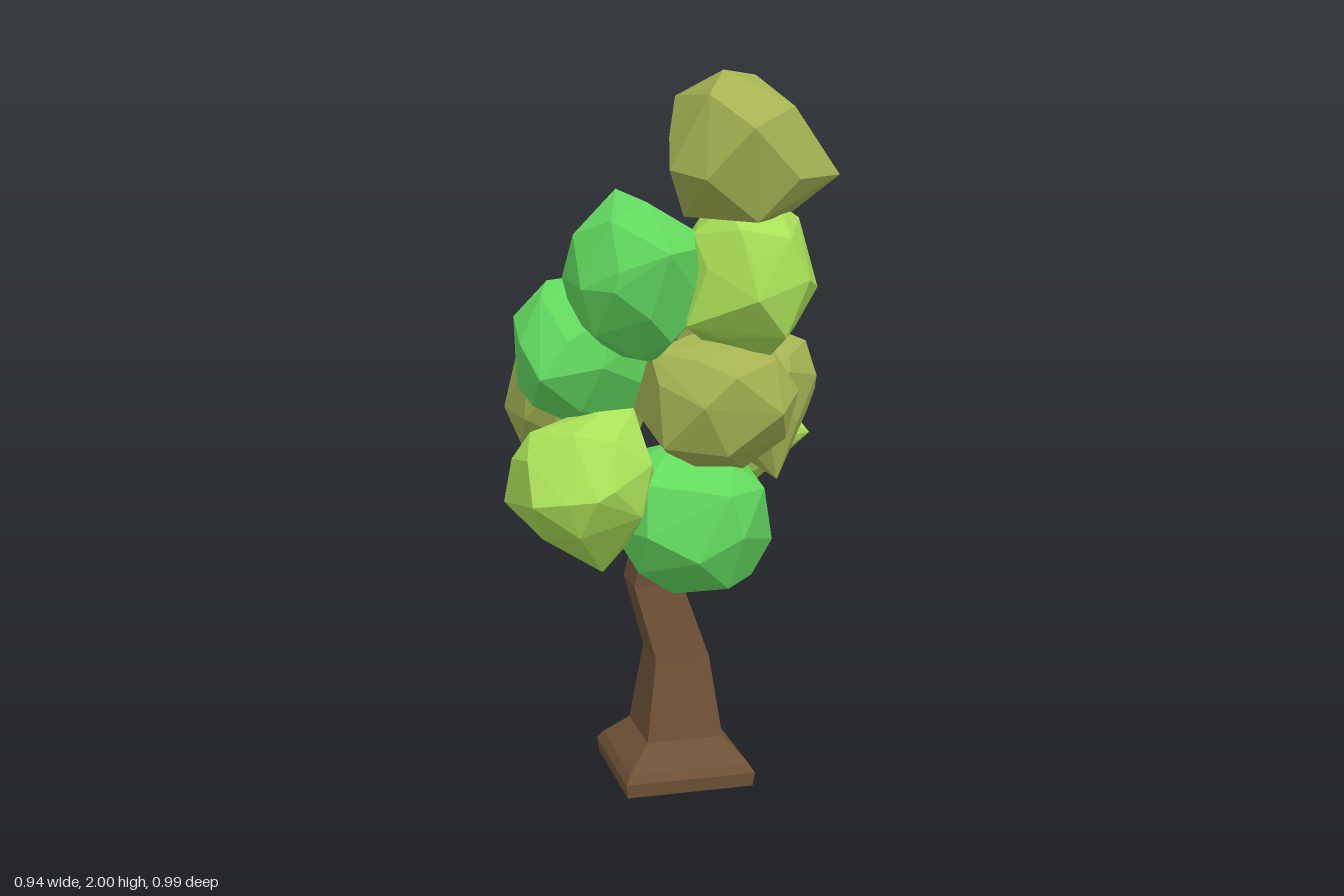
import * as THREE from 'three';
import { ConvexGeometry } from 'three/addons/geometries/ConvexGeometry.js';

const paint = (color) => new THREE.MeshStandardMaterial({ color, flatShading: true });
const toVectors = (list) => list.map((p) => new THREE.Vector3(...p));

// Small seeded random generator
function seeded(seed) {
  let s = seed * 7919 + 17;
  return () => {
    s = (s * 16807) % 2147483647;
    return s / 2147483647;
  };
}

// Faceted leaf clump: uneven points on an ellipsoid filling lo..hi, plus jutting corners
function clumpGeometry(lo, hi, corners, seed) {
  const rand = seeded(seed);
  for (let i = 0; i < 5; i++) rand();
  const turn = new THREE.Euler(rand() * 6, rand() * 6, rand() * 6);
  const count = 28;
  const points = [];
  for (let i = 0; i < count; i++) {
    const y = 1 - (2 * (i + 0.5)) / count;
    const r = Math.sqrt(1 - y * y);
    const a = i * 2.39996 + (rand() - 0.5) * 0.5;
    const p = new THREE.Vector3(r * Math.cos(a), y + (rand() - 0.5) * 0.15, r * Math.sin(a));
    points.push(p.normalize().multiplyScalar(0.97 + rand() * 0.08).applyEuler(turn));
  }
  const box = new THREE.Box3().setFromPoints(points);
  const low = new THREE.Vector3(...lo);
  const scale = new THREE.Vector3(...hi).sub(low).divide(box.getSize(new THREE.Vector3()));
  points.forEach((p) => p.sub(box.min).multiply(scale).add(low));
  return new ConvexGeometry([...points, ...toVectors(corners)]);
}

// Four-sided trunk lofted through rings of [y, xMin, xMax, zMin, zMax]
function trunkGeometry(rings) {
  const points = [];
  const index = [];
  for (const [y, x0, x1, z0, z1] of rings) {
    points.push(x0, y, z1, x1, y, z1, x1, y, z0, x0, y, z0);
  }
  for (let r = 0; r < rings.length - 1; r++) {
    for (let i = 0; i < 4; i++) {
      const a = r * 4 + i;
      const b = r * 4 + ((i + 1) % 4);
      index.push(a, b, b + 4, a, b + 4, a + 4);
    }
  }
  const t = (rings.length - 1) * 4;
  index.push(0, 2, 1, 0, 3, 2, t, t + 1, t + 2, t, t + 2, t + 3);
  const geo = new THREE.BufferGeometry();
  geo.setAttribute('position', new THREE.Float32BufferAttribute(points, 3));
  geo.setIndex(index);
  geo.computeVertexNormals();
  return geo;
}

export function createModel() {
  const tree = new THREE.Group();
  tree.name = 'tree';
  const add = (name, geometry, material) => {
    const mesh = new THREE.Mesh(geometry, material);
    mesh.name = name;
    tree.add(mesh);
    return mesh;
  };

  // Trunk with a flared square foot and a slight bend
  add('trunk', trunkGeometry([
    [0, -0.155, 0.21, -0.155, 0.21],
    [0.04, -0.16, 0.215, -0.16, 0.215],
    [0.065, -0.145, 0.2, -0.145, 0.2],
    [0.13, -0.08, 0.14, -0.08, 0.14],
    [0.36, -0.045, 0.11, -0.05, 0.1],
    [0.57, -0.1, 0.04, -0.06, 0.07],
    [0.75, -0.06, 0.06, -0.04, 0.08],
  ]), paint(0x6f5236));

  const green = paint(0x63db60);
  const lime = paint(0xa8df57);
  const olive = paint(0xa5b252);

  // Crown clump with one jutting corner, repeated lower down at the back
  const crown = new ConvexGeometry(toVectors([
    [0.08, 2.0, 0.31], [0.2, 1.985, 0.2], [0.29, 1.92, 0.12], [0.3, 1.8, 0.2],
    [0.37, 1.735, 0.39], [0.11, 1.86, 0.49], [-0.07, 1.75, 0.34], [-0.05, 1.83, 0.26],
    [0.0, 1.93, 0.13], [0.19, 1.79, 0.03], [0.29, 1.62, 0.22], [0.0, 1.62, 0.22],
    [0.14, 1.62, 0.43], [0.24, 1.73, 0.46], [0.0, 1.73, 0.44], [0.12, 1.63, 0.1],
    [0.01, 1.74, 0.09], [0.26, 1.7, 0.09], [0.24, 1.91, 0.41], [0.02, 1.94, 0.39],
  ]));
  add('crownClump', crown, olive);
  add('upperBackClump', crown, olive).position.set(0, -0.44, -0.37);

  // Other clumps: colour, lowest and highest extent, jutting corners
  const clumps = [
    ['upperFrontClump', lime, [0.0, 1.23, -0.03], [0.37, 1.66, 0.45],
      [[-0.03, 1.35, 0.36], [0.38, 1.4, 0.04], [0.02, 1.5, 0.38], [0.1, 1.6, 0.4]]],
    ['upperRightClump', green, [-0.31, 1.24, -0.05], [0.06, 1.69, 0.43],
      [[-0.1, 1.55, 0.47], [-0.23, 1.45, 0.4]]],
    ['middleRightClump', green, [-0.42, 1.03, -0.18], [-0.03, 1.45, 0.22],
      [[-0.39, 1.2, 0.22]]],
    ['middleBackClump', green, [-0.05, 0.94, -0.47], [0.36, 1.32, -0.08],
      [[0.16, 1.1, -0.495], [0.25, 1.15, -0.44]]],
    ['middleFrontClump', olive, [-0.12, 0.93, 0.0], [0.31, 1.3, 0.4],
      [[-0.1, 1.27, 0.25], [-0.08, 1.02, 0.32]]],
    ['middleLeftClump', olive, [0.05, 0.95, -0.18], [0.43, 1.3, 0.2],
      [[0.45, 1.1, 0.0], [0.42, 1.24, 0.0], [0.3, 0.87, 0.12]]],
    ['lowerBackLeftClump', lime, [0.05, 0.75, -0.43], [0.41, 1.17, -0.03],
      [[0.47, 0.95, -0.1], [0.35, 0.97, -0.36], [0.25, 0.95, -0.45], [0.29, 0.74, -0.31]]],
    ['lowerFrontRightClump', lime, [-0.46, 0.7, -0.04], [-0.06, 1.1, 0.36],
      [[-0.47, 0.85, 0.1], [-0.43, 0.88, 0.31], [-0.27, 0.9, 0.375], [-0.22, 0.66, 0.2],
        [-0.12, 1.1, 0.15]]],
    ['lowerBackRightClump', olive, [-0.41, 0.87, -0.38], [0.0, 1.29, 0.02],
      [[-0.19, 1.1, -0.405], [-0.36, 1.1, -0.32]]],
    ['bottomClump', green, [-0.19, 0.57, -0.15], [0.27, 1.0, 0.35], []],
  ];
  clumps.forEach(([name, material, lo, hi, corners], i) => {
    add(name, clumpGeometry(lo, hi, corners, i + 1), material);
  });

  return tree;
}
